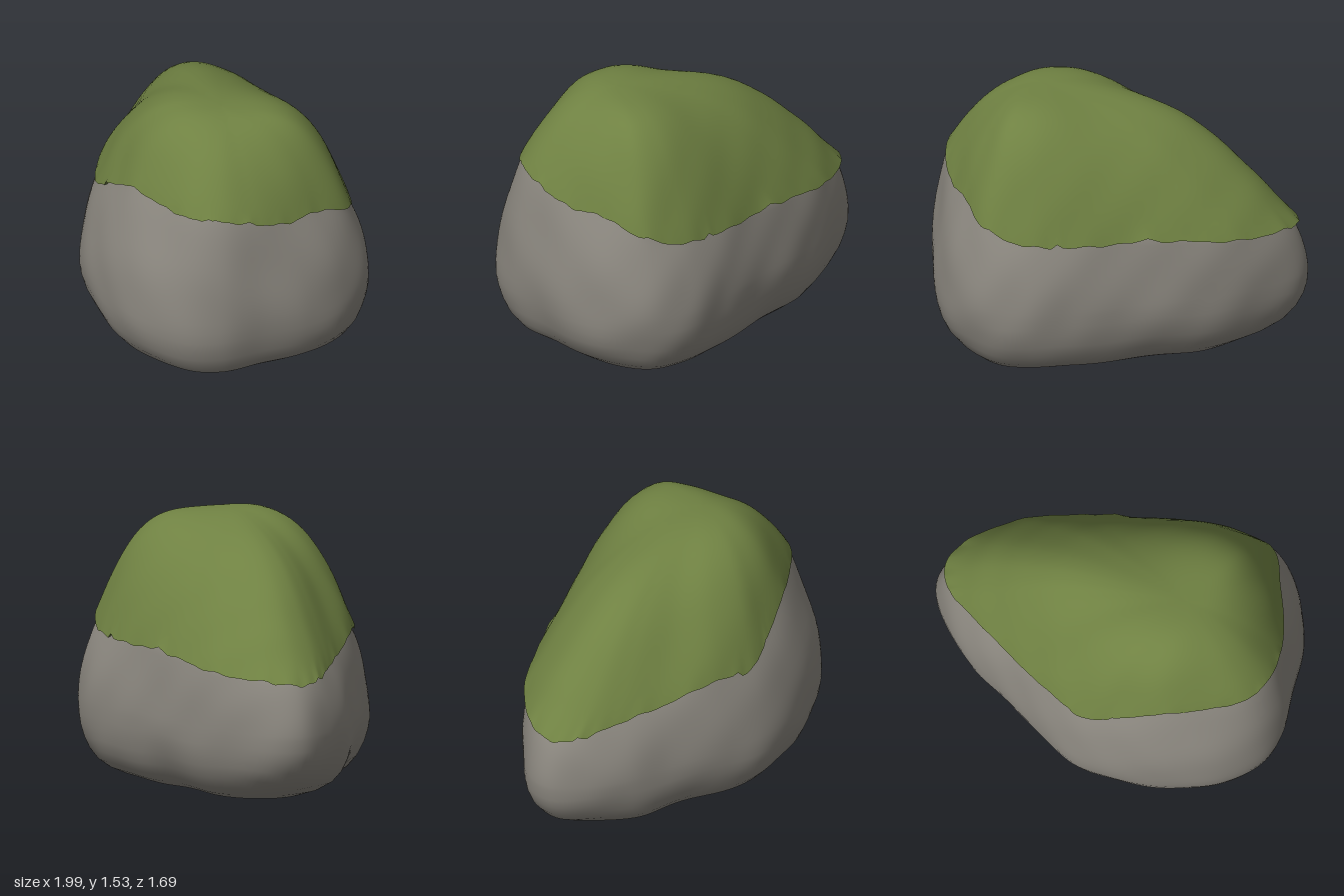
import * as THREE from 'three';

const SEG = 168;
const { lerp, smoothstep } = THREE.MathUtils;

// Stations around the boulder: widest outline x, z, then moss hem x, y, z
const STATIONS = [
  [-0.98, -0.68, -0.92, 0.73, -0.69], [-0.85, -0.80, -0.79, 0.75, -0.79],
  [-0.50, -0.85, -0.47, 0.77, -0.835], [-0.15, -0.79, -0.14, 0.81, -0.765],
  [0.20, -0.69, 0.20, 0.83, -0.66], [0.50, -0.61, 0.50, 0.83, -0.55],
  [0.76, -0.52, 0.73, 0.85, -0.42], [0.94, -0.35, 0.88, 0.91, -0.25],
  [1.00, -0.08, 0.86, 1.00, 0.00], [0.95, 0.18, 0.83, 1.00, 0.20],
  [0.83, 0.42, 0.76, 1.05, 0.40], [0.72, 0.64, 0.65, 1.10, 0.56],
  [0.56, 0.78, 0.50, 1.10, 0.65], [0.30, 0.84, 0.28, 1.10, 0.665],
  [0.02, 0.80, 0.00, 1.10, 0.63], [-0.25, 0.69, -0.24, 0.98, 0.54],
  [-0.47, 0.53, -0.42, 0.88, 0.45], [-0.62, 0.33, -0.58, 0.90, 0.24],
  [-0.79, 0.00, -0.72, 0.83, -0.05], [-0.92, -0.22, -0.85, 0.79, -0.30],
  [-0.99, -0.46, -0.94, 0.74, -0.52],
];

// Smooth closed loop through the stations
function loop(toPoint) {
  const curve = new THREE.CatmullRomCurve3(STATIONS.map(toPoint), true, 'centripetal');
  return Array.from({ length: SEG }, (_, j) => curve.getPoint(j / SEG));
}

// Gentle lumps of a weathered surface
function lump(p) {
  const n = Math.sin(7 * p.x + 3 * p.y + 1) * Math.sin(6 * p.z - 4 * p.y + 2)
    + 0.6 * Math.sin(13 * p.y + 5 * p.x) * Math.sin(11 * p.z + 8 * p.x);
  const k = 1 + 0.009 * n;
  return new THREE.Vector3(p.x * k, p.y, p.z * k);
}

// Skin closed rings, listed from bottom to top
function loft(rings) {
  const positions = [], index = [];
  rings.forEach((ring) => ring.forEach((p) => positions.push(p.x, p.y, p.z)));
  for (let i = 0; i < rings.length - 1; i++) {
    for (let j = 0; j < SEG; j++) {
      const a = i * SEG + j, b = i * SEG + (j + 1) % SEG;
      index.push(a, a + SEG, b, b, a + SEG, b + SEG);
    }
  }
  const geometry = new THREE.BufferGeometry();
  geometry.setAttribute('position', new THREE.Float32BufferAttribute(positions, 3));
  geometry.setIndex(index);
  geometry.computeVertexNormals();
  return geometry;
}

// Dome rings from a rim to an apex: full shoulders, long slope to the back corner
function dome(rim, apex, steps) {
  return Array.from({ length: steps + 1 }, (_, k) => {
    const r = Math.cos((k / steps) * Math.PI / 2);
    return rim.map((p) => {
      const dx = p.x - apex.x, dz = p.z - apex.z;
      const power = 2.35 + 0.65 * (dx - dz) ** 2 / (dx * dx + dz * dz);
      return new THREE.Vector3(
        apex.x + dx * r, p.y + (apex.y - p.y) * (1 - r ** power), apex.z + dz * r);
    });
  });
}

export function createModel() {
  const group = new THREE.Group();
  group.name = 'mossyBoulder';

  const outline = loop(([x, z]) => new THREE.Vector3(x, 0.42, z));
  const hem = loop(([, , x, y, z]) => new THREE.Vector3(x, y, z));
  const apex = new THREE.Vector3(0.28, 1.53, 0.16);
  const innerApex = new THREE.Vector3(0.28, 1.45, 0.16);
  const inward = (p, amount, rise) => new THREE.Vector3(
    lerp(p.x, apex.x, amount), p.y + rise, lerp(p.z, apex.z, amount));

  // Boulder: rounded base, belly, tapering sides, hidden crown
  const inset = hem.map((p) => inward(p, 0.03, 0.01));
  const base = [[0, 0.008], [0.3, 0.008], [0.55, 0.012], [0.69, 0.025], [0.78, 0.055], [0.86, 0.1],
    [0.92, 0.16], [0.96, 0.23], [0.985, 0.3], [0.997, 0.36]];
  const rockRings = base.map(([s, y]) => outline.map((p) => new THREE.Vector3(
    0.2 + (p.x - 0.2) * s, y + 0.008 * s * Math.sin(9 * p.x * s + 7 * p.z * s), p.z * s)));
  for (let k = 0; k < 12; k++) {
    const t = k / 12;
    rockRings.push(outline.map((p, j) => {
      const q = p.clone().lerp(inset[j], t ** 1.9);
      q.y = lerp(p.y, inset[j].y, t);
      return q;
    }));
  }
  rockRings.push(...dome(inset, innerApex, 10));
  const boulder = new THREE.Mesh(
    loft(rockRings.map((ring) => ring.map(lump))),
    new THREE.MeshStandardMaterial({ color: 0x8a867e }));
  boulder.name = 'boulder';
  group.add(boulder);

  // Moss cap: soft dome whose raggedness fades out above the hem
  const ragged = (j) => {
    const a = (j / SEG) * Math.PI * 2;
    return 0.005 * Math.sin(23 * a) + 0.004 * Math.sin(41 * a + 1)
      + 0.025 * Math.max(0, Math.sin(9 * a + 2 * Math.sin(4 * a))) ** 24;
  };
  const cap = dome(hem, apex, 28).map((ring, k) => {
    const fray = 1 - smoothstep(k, 0, 7);
    const swell = 0.012 * smoothstep(k, 4, 14);
    return ring.map((p, j) => {
      const q = lump(p);
      q.y += fray * ragged(j) + swell * Math.sin(6 * p.x + 1) * Math.sin(7 * p.z);
      return q;
    });
  });
  const lip = cap[0].map((p) => inward(p, 0.07, 0.02));
  const mossMaterial = new THREE.MeshStandardMaterial({ color: 0x6f8142, side: THREE.DoubleSide });
  const moss = new THREE.Mesh(loft(cap), mossMaterial);
  moss.name = 'mossCap';
  const mossLip = new THREE.Mesh(loft([lip, cap[0]]), mossMaterial);
  mossLip.name = 'mossLip';
  group.add(moss, mossLip);

  return group;
}
